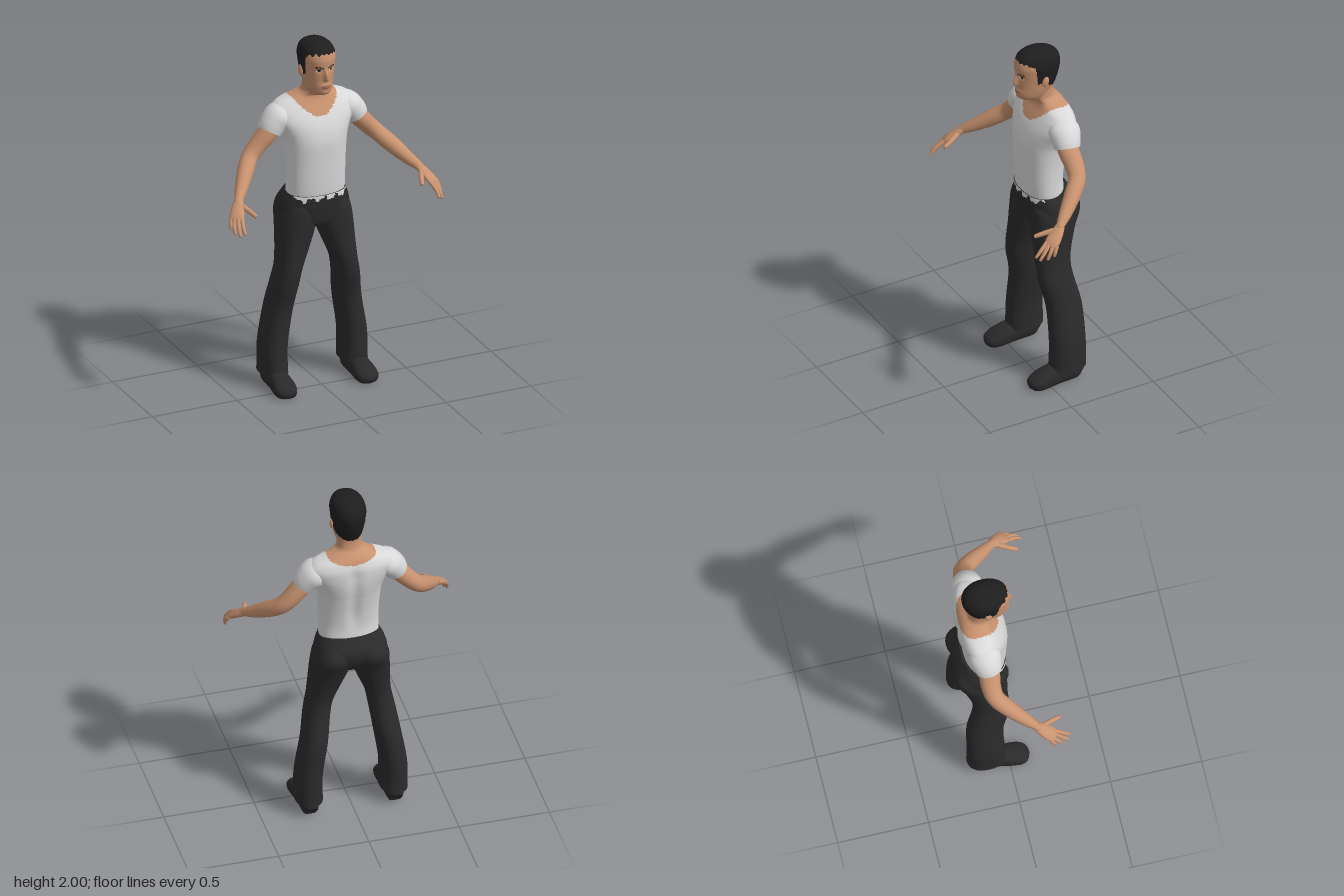
import * as THREE from 'three';

const mat = (name, color) => {
  const m = new THREE.MeshStandardMaterial({ color });
  m.name = name;
  return m;
};

// Catmull-Rom blend of whole rows of numbers
function smoothRows(rows, sub) {
  const out = [], n = rows.length;
  for (let i = 0; i < n - 1; i++) {
    const a = rows[Math.max(i - 1, 0)], b = rows[i], c = rows[i + 1], d = rows[Math.min(i + 2, n - 1)];
    for (let k = 0; k < sub; k++) {
      const t = k / sub;
      out.push(b.map((v, q) => {
        const cubic = 3 * (v - c[q]) + d[q] - a[q];
        const square = 2 * a[q] - 5 * v + 4 * c[q] - d[q];
        return v + 0.5 * t * (c[q] - a[q] + t * (square + t * cubic));
      }));
    }
  }
  out.push(rows[n - 1]);
  return out;
}

// Skin over elliptical rings; rows are [x, y, z, halfWidth, halfDepth].
// Rings lie level unless a "wide" direction is given; then they follow the path.
function loft(name, rows, materials, { seg = 24, sub = 4, e = 2, wide, warp, pick } = {}) {
  const R = smoothRows(rows, sub), n = R.length, pos = [];
  const mats = [].concat(materials), buckets = mats.map(() => []);
  const P = R.map(r => new THREE.Vector3(r[0], r[1], r[2]));
  const pow = c => Math.sign(c) * Math.abs(c) ** (2 / e);
  R.forEach((r, i) => {
    const t = new THREE.Vector3(0, 1, 0), u = new THREE.Vector3(1, 0, 0);
    if (wide) {
      t.subVectors(P[Math.min(i + 1, n - 1)], P[Math.max(i - 1, 0)]).normalize();
      u.set(...wide);
      u.addScaledVector(t, -u.dot(t)).normalize();
    }
    const v = new THREE.Vector3().crossVectors(t, u);
    for (let j = 0; j < seg; j++) {
      const a = j / seg * Math.PI * 2;
      const p = P[i].clone().addScaledVector(u, r[3] * pow(Math.cos(a))).addScaledVector(v, r[4] * pow(Math.sin(a)));
      if (warp) warp(p);
      pos.push(p.x, p.y, p.z);
    }
  });
  const at = i => new THREE.Vector3().fromArray(pos, i * 3);
  for (let i = 0; i < n - 1; i++) for (let j = 0; j < seg; j++) {
    const a = i * seg + j, b = i * seg + (j + 1) % seg, c = a + seg, d = b + seg;
    const k = pick ? pick(at(a).add(at(b)).add(at(c)).add(at(d)).multiplyScalar(0.25)) : 0;
    buckets[k].push(a, b, c, b, d, c);
  }
  // end caps with their own corners
  for (const [i, flip] of [[0, true], [n - 1, false]]) {
    const base = pos.length / 3, mid = new THREE.Vector3();
    for (let j = 0; j < seg; j++) {
      const p = at(i * seg + j);
      pos.push(p.x, p.y, p.z);
      mid.addScaledVector(p, 1 / seg);
    }
    pos.push(mid.x, mid.y, mid.z);
    const k = pick ? pick(mid) : 0;
    for (let j = 0; j < seg; j++) {
      const a = base + j, b = base + (j + 1) % seg;
      buckets[k].push(base + seg, flip ? b : a, flip ? a : b);
    }
  }
  const g = new THREE.BufferGeometry();
  g.setAttribute('position', new THREE.Float32BufferAttribute(pos, 3));
  g.setIndex(buckets.flat());
  let start = 0;
  buckets.forEach((b, k) => { g.addGroup(start, b.length, k); start += b.length; });
  g.computeVertexNormals();
  const mesh = new THREE.Mesh(g, mats.length > 1 ? mats : mats[0]);
  mesh.name = name;
  return mesh;
}

// level ring from its front and back z
const ring = (x, y, front, back, rx) => [x, y, (front + back) / 2, rx, (front - back) / 2];
const bump = (d, w) => Math.exp(-((d / w) ** 2));
const ramp = THREE.MathUtils.smoothstep;

// height of the hair edge for a given z
function hairline(z) {
  const T = [[-0.3, 1.75], [-0.165, 1.755], [-0.12, 1.78], [-0.09, 1.81], [-0.03, 1.82], [-0.012, 1.935], [0.04, 1.95], [0.1, 1.957]];
  const i = Math.max(1, T.findIndex(q => q[0] >= z));
  return THREE.MathUtils.mapLinear(z, T[i - 1][0], T[i][0], T[i - 1][1], T[i][1]);
}

export function createModel() {
  const model = new THREE.Group();
  model.name = 'standingMan';
  const skin = mat('skin', 0xc8926f), shirt = mat('shirt white', 0xd9d9d9), trousers = mat('trouser black', 0x2b2b2c);
  const hair = mat('hair black', 0x1e1e1f), shoe = mat('shoe black', 0x29292a), lips = mat('lips', 0xa56d56);
  const eyeWhite = mat('eye white', 0xcfc4ba), dark = mat('eye dark', 0x2a1c16);

  // torso and neck, with a scooped neckline and a groove down the spine
  model.add(loft('torso', [
    ring(0, 1.08, 0.02, -0.19, 0.155), ring(0, 1.12, 0.028, -0.195, 0.163), ring(0, 1.2, 0.034, -0.19, 0.163),
    ring(0, 1.3, 0.038, -0.2, 0.166), ring(0, 1.4, 0.042, -0.218, 0.174), ring(0, 1.45, 0.039, -0.228, 0.184),
    ring(0, 1.5, 0.028, -0.235, 0.205), ring(0, 1.55, 0.008, -0.237, 0.233), ring(0, 1.6, -0.02, -0.234, 0.243),
    ring(0, 1.64, -0.045, -0.22, 0.205), ring(0, 1.665, -0.055, -0.205, 0.14), ring(0, 1.68, -0.053, -0.19, 0.1),
    ring(0, 1.7, -0.04, -0.167, 0.071), ring(0, 1.74, -0.03, -0.157, 0.065), ring(0, 1.78, -0.03, -0.157, 0.065),
  ], [shirt, skin], {
    seg: 112, sub: 7, e: 2.3,
    warp: p => { if (p.z < -0.12) p.z += 0.014 * bump(p.x, 0.035) * ramp(p.y, 1.15, 1.3) * (1 - ramp(p.y, 1.55, 1.66)); },
    pick: p => {
      const q = (p.x / 0.125) ** 2, front = ramp(p.z, -0.17, -0.08);
      return p.y > THREE.MathUtils.lerp(1.637 + 0.025 * q, 1.57 + 0.09 * q, front) ? 1 : 0;
    },
  }));

  // hips, with the ragged shirt hem over the front waistband
  model.add(loft('hips', [
    ring(0, 0.9, -0.06, -0.13, 0.02), ring(0, 0.925, -0.01, -0.19, 0.1), ring(0, 0.96, 0.012, -0.225, 0.185),
    ring(0, 1.02, 0.024, -0.25, 0.2), ring(0, 1.07, 0.03, -0.25, 0.19), ring(0, 1.1, 0.032, -0.225, 0.176),
    ring(0, 1.12, 0.032, -0.205, 0.166),
  ], [trousers, shirt], {
    seg: 112, sub: 8, e: 2.4,
    warp: p => { p.y += 0.022 * ramp(p.y, 1.06, 1.12) * ramp(-p.z, 0.08, 0.2); },
    pick: p => (p.z > -0.03 && p.y > 1.1 + 0.012 * Math.sin(p.x * 85 + 1.5) + 0.006 * Math.sin(p.x * 190) ? 1 : 0),
  }));

  // head, with hair and face painted by region
  model.add(loft('head', [
    ring(0, 1.695, 0.0, -0.13, 0.045), ring(0, 1.715, 0.04, -0.135, 0.057), ring(0, 1.74, 0.052, -0.148, 0.068),
    ring(0, 1.78, 0.052, -0.168, 0.078), ring(0, 1.83, 0.053, -0.186, 0.086), ring(0, 1.88, 0.058, -0.197, 0.092),
    ring(0, 1.92, 0.058, -0.198, 0.095), ring(0, 1.96, 0.044, -0.183, 0.084), ring(0, 1.985, 0.012, -0.148, 0.06),
    ring(0, 1.996, -0.025, -0.11, 0.033), ring(0, 2, -0.066, -0.068, 0.001),
  ], [skin, hair, lips, eyeWhite, dark], {
    seg: 168, sub: 11, e: 2.15,
    warp: p => {
      if (p.z < 0) return;
      const x = Math.abs(p.x);
      p.z += 0.026 * bump(x, 0.012) * ramp(1.885 - p.y, 0, 0.065) * ramp(p.y, 1.79, 1.812)
        + 0.009 * bump(x, 0.03) * bump(p.y - 1.765, 0.015) + 0.005 * bump(x, 0.025) * bump(p.y - 1.728, 0.014)
        - 0.008 * bump(x - 0.034, 0.018) * bump(p.y - 1.86, 0.014);
    },
    pick: p => {
      const x = Math.abs(p.x), y = p.y;
      if (y > hairline(p.z) + 0.005 * Math.sin(p.x * 230) + 0.004 * Math.sin(p.z * 260)) return 1;
      if (p.z < 0) return 0;
      if (x > 0.012 && x < 0.056 && Math.abs(y - 1.876 - 0.006 * bump(x - 0.038, 0.014)) < 0.0035) return 4;
      const ex = (x - 0.035) / 0.016, ey = (y - 1.859) / 0.007;
      if (ex * ex + ey * ey < 1) return Math.abs(ex) < 0.45 || ey > 0.35 ? 4 : 3;
      return (x / 0.027) ** 2 + ((y - 1.764) / 0.01) ** 2 < 1 ? 2 : 0;
    },
  }));

  for (const s of [1, -1]) {
    const side = s > 0 ? 'left' : 'right';
    const flip = rows => rows.map(([x, ...r]) => [x * s, ...r]);
    const add = (name, rows, m, o) => model.add(loft(side + name, flip(rows), m, o));

    // ear
    const ear = new THREE.Mesh(new THREE.SphereGeometry(1, 16, 12), skin);
    ear.name = side + 'Ear';
    ear.scale.set(0.011, 0.031, 0.019);
    ear.position.set(0.089 * s, 1.83, -0.072);
    ear.rotation.set(-0.2, -0.3 * s, 0);
    model.add(ear);

    // sleeve and bare arm
    add('Sleeve', [[0.14, 1.59, -0.125, 0.05, 0.06], [0.195, 1.565, -0.122, 0.074, 0.088], [0.235, 1.525, -0.116, 0.072, 0.08],
      [0.258, 1.488, -0.111, 0.064, 0.07]], shirt, { wide: [s, 0.7, 0], seg: 32, sub: 6 });
    add('Arm', [[0.22, 1.53, -0.11, 0.05, 0.055], [0.27, 1.475, -0.112, 0.052, 0.058], [0.33, 1.41, -0.115, 0.048, 0.053],
      [0.38, 1.36, -0.1, 0.045, 0.048], [0.43, 1.31, -0.045, 0.045, 0.045], [0.49, 1.25, 0.032, 0.035, 0.035],
      [0.53, 1.215, 0.085, 0.025, 0.023], [0.536, 1.208, 0.093, 0.025, 0.022]], skin, { wide: [s, 0.8, 0], sub: 5 });

    // hand: palm, four fingers and a thumb
    const across = [-0.7 * s, 0.1, 0.5];
    add('Palm', [[0.525, 1.219, 0.078, 0.022, 0.021], [0.55, 1.19, 0.115, 0.034, 0.021], [0.572, 1.16, 0.155, 0.041, 0.017],
      [0.583, 1.142, 0.176, 0.034, 0.011]], skin, { wide: across, sub: 5 });
    const fingers = [
      [[0.556, 1.152, 0.183], [0.57, 1.12, 0.228], [0.572, 1.09, 0.257]],
      [[0.574, 1.148, 0.178], [0.591, 1.112, 0.218], [0.594, 1.08, 0.244]],
      [[0.59, 1.146, 0.163], [0.606, 1.112, 0.19], [0.607, 1.08, 0.205]],
      [[0.602, 1.148, 0.146], [0.613, 1.12, 0.162], [0.614, 1.094, 0.17]],
      [[0.537, 1.2, 0.105], [0.508, 1.18, 0.17], [0.491, 1.165, 0.218]],
    ];
    fingers.forEach(([a, b, c], i) => {
      const r = i === 4 ? 0.014 : 0.0105, tip = c.map((v, k) => v + (v - b[k]) * 0.12);
      add(i === 4 ? 'Thumb' : 'Finger' + (i + 1), [[...a, r * 1.1, r * 1.1], [...b, r, r], [...c, r * 0.75, r * 0.75],
        [...tip, 0.002, 0.002]], skin, { wide: across, seg: 12 });
    });

    // trouser leg
    add('TrouserLeg', [
      ring(0.235, 0.078, -0.014, -0.228, 0.076), ring(0.235, 0.11, -0.018, -0.227, 0.075), ring(0.233, 0.25, -0.022, -0.225, 0.074),
      ring(0.202, 0.45, -0.02, -0.22, 0.072), ring(0.18, 0.6, 0.012, -0.188, 0.07), ring(0.161, 0.7, 0.02, -0.175, 0.07),
      ring(0.137, 0.8, 0.018, -0.19, 0.086), ring(0.112, 0.92, 0.02, -0.226, 0.104), ring(0.104, 1.0, 0.02, -0.26, 0.102),
      ring(0.1, 1.05, 0.015, -0.257, 0.085), ring(0.1, 1.09, -0.01, -0.225, 0.06),
    ], trousers, { seg: 32, e: 2.3 });

    // shoe with a flat sole
    add('Shoe', [[0.235, 0.045, -0.2, 0.03, 0.03], [0.235, 0.055, -0.175, 0.045, 0.055], [0.236, 0.058, -0.06, 0.052, 0.062],
      [0.238, 0.048, 0.015, 0.062, 0.052], [0.24, 0.036, 0.065, 0.062, 0.038], [0.241, 0.028, 0.097, 0.046, 0.027],
      [0.242, 0.024, 0.112, 0.012, 0.01]], shoe,
    { wide: [1, 0, 0], seg: 28, e: 2.5, warp: p => { p.y = Math.max(p.y - 0.008, 0); } });
  }
  return model;
}
